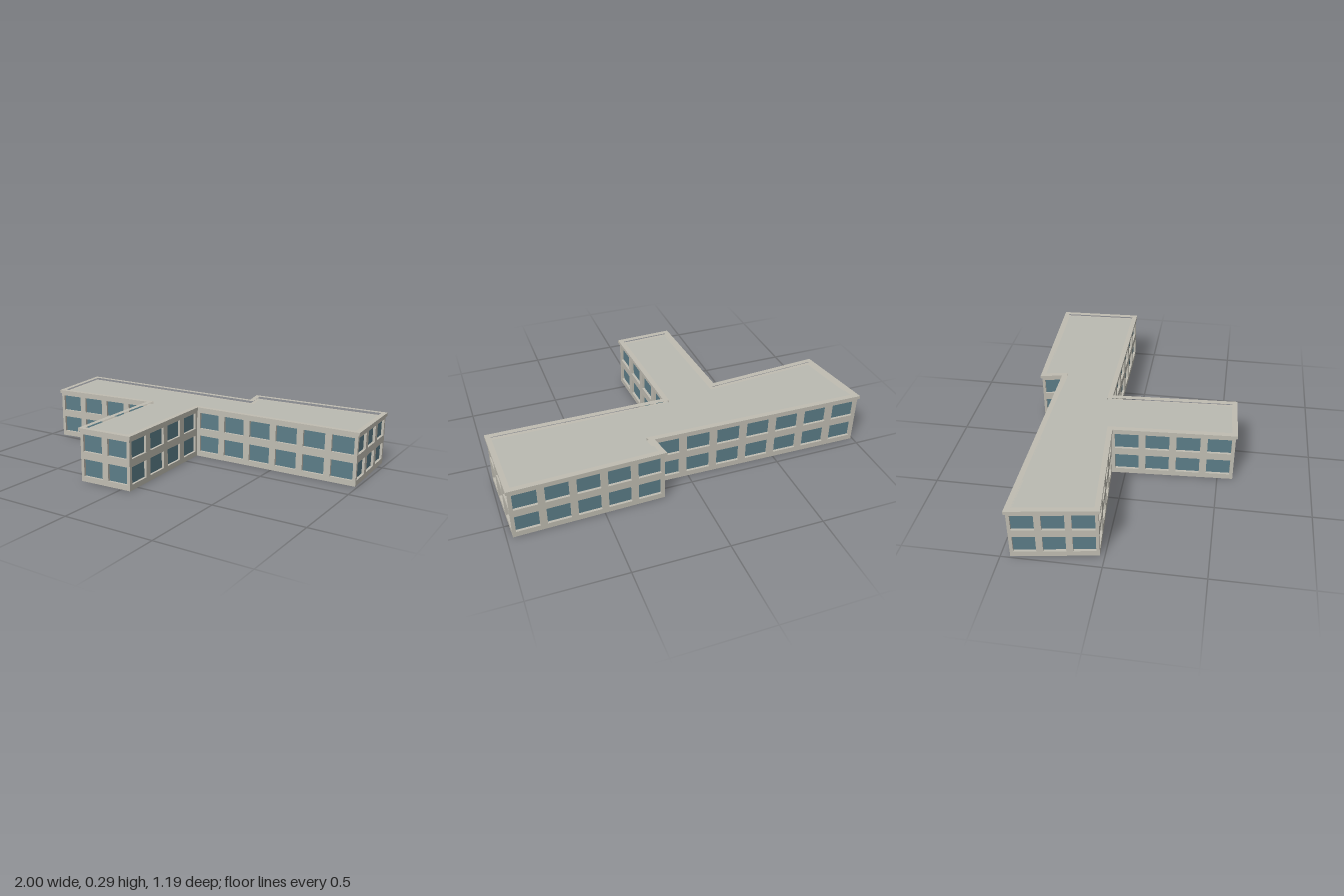
import * as THREE from 'three';

const LIP = 0.008;        // parapet overhang
const THICK = 0.02;       // wall thickness
const WALL_TOP = 0.275;
const TOP = 0.293;
const RECESS = 0.014;     // depth of the glass behind the wall face
const ROWS = [[0.03, 0.125], [0.167, 0.26]]; // window sill and head heights

// Outer parapet outline as [x, z], running back-left to back-right to front
const OUTLINE = [
  [-1.0, -0.46], [0.19, -0.447], [0.167, -0.57], [0.977, -0.597], [0.996, -0.118],
  [0.028, -0.116], [0.064, 0.577], [-0.261, 0.591], [-0.296, -0.066], [-0.932, -0.016],
].map(([x, z]) => new THREE.Vector2(x, z));

// Moves every edge of an outline inward by d, with mitred corners
function inset(points, d) {
  const n = points.length;
  return points.map((p, i) => {
    const a = p.clone().sub(points[(i + n - 1) % n]).normalize();
    const b = points[(i + 1) % n].clone().sub(p).normalize();
    const na = new THREE.Vector2(-a.y, a.x);
    const nb = new THREE.Vector2(-b.y, b.x);
    return p.clone().addScaledVector(na.clone().add(nb), d / (1 + na.dot(nb)));
  });
}

// Horizontal slab from an outline, optionally with an opening
function slab(points, y0, y1, hole) {
  const flat = (list) => list.map((p) => new THREE.Vector2(p.x, -p.y));
  const shape = new THREE.Shape(flat(points));
  if (hole) shape.holes.push(new THREE.Path(flat(hole)));
  const geo = new THREE.ExtrudeGeometry(shape, { depth: y1 - y0, bevelEnabled: false });
  return geo.rotateX(-Math.PI / 2).translate(0, y0, 0);
}

function rectangle(Type, x0, y0, x1, y1) {
  return new Type([[x0, y0], [x1, y0], [x1, y1], [x0, y1]].map(([x, y]) => new THREE.Vector2(x, y)));
}

export function createModel() {
  const wallMat = new THREE.MeshStandardMaterial({ color: 0xc0bdb2 });
  wallMat.name = 'wall stone';
  const roofMat = new THREE.MeshStandardMaterial({ color: 0xbbbbb2 });
  roofMat.name = 'roof grey';
  const glassMat = new THREE.MeshStandardMaterial({ color: 0x5c7d88, side: THREE.DoubleSide });
  glassMat.name = 'window glass';

  const model = new THREE.Group();
  model.name = 'building';
  const add = (parent, name, geo, mat) => {
    const mesh = new THREE.Mesh(geo, mat);
    mesh.name = name;
    parent.add(mesh);
    return mesh;
  };

  const outer = inset(OUTLINE, LIP);
  const inner = inset(outer, THICK);

  // Walls: local x runs along the wall, local z points into the building
  outer.forEach((p, i) => {
    const j = (i + 1) % outer.length;
    const dir = outer[j].clone().sub(p);
    const length = dir.length();
    dir.normalize();
    const startShift = inner[i].clone().sub(p).dot(dir);
    const endShift = inner[j].clone().sub(outer[j]).dot(dir);

    const side = new THREE.Group();
    side.name = 'facade' + (i + 1);
    side.position.set(p.x, 0, p.y);
    side.rotation.y = Math.atan2(-dir.y, dir.x);
    model.add(side);

    // Evenly spaced windows in two storeys
    const shape = rectangle(THREE.Shape, 0, 0, length, WALL_TOP);
    const count = Math.max(1, Math.round(length / 0.17));
    const pitch = length / count;
    const width = pitch * 0.77;
    for (const [y0, y1] of ROWS) {
      for (let k = 0; k < count; k++) {
        const mid = (k + 0.5) * pitch;
        shape.holes.push(rectangle(THREE.Path, mid - width / 2, y0, mid + width / 2, y1));
        const pane = add(side, 'windowPane', new THREE.PlaneGeometry(width, y1 - y0), glassMat);
        pane.position.set(mid, (y0 + y1) / 2, RECESS);
        pane.rotation.y = Math.PI;
      }
    }

    // Mitre the inner ends so that neighbouring walls meet cleanly
    const geo = new THREE.ExtrudeGeometry(shape, { depth: THICK, bevelEnabled: false });
    const pos = geo.attributes.position;
    for (let v = 0; v < pos.count; v++) {
      if (pos.getZ(v) < THICK / 2) continue;
      const x = pos.getX(v);
      if (x < 1e-5) pos.setX(v, x + startShift);
      else if (x > length - 1e-5) pos.setX(v, x + endShift);
    }
    geo.computeVertexNormals();
    add(side, 'wall', geo, wallMat);
  });

  // Roof deck sunk behind a raised parapet
  add(model, 'roof', slab(inset(outer, THICK / 2), 0.264, WALL_TOP, null), roofMat);
  add(model, 'parapet', slab(OUTLINE, WALL_TOP - 0.001, TOP, inner), wallMat);

  return model;
}
